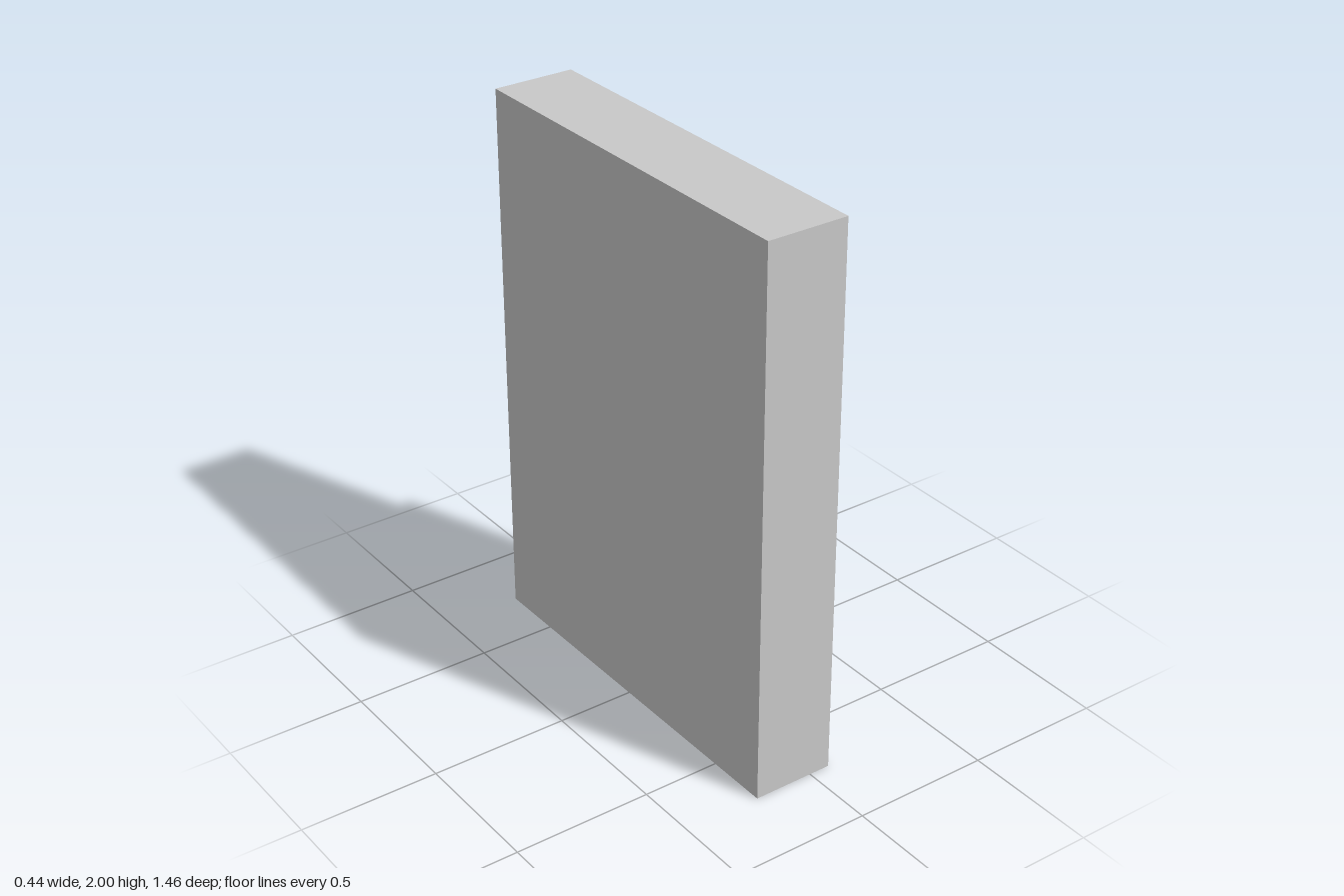
import * as THREE from 'three';

export function createModel() {
  const model = new THREE.Group();
  const grey = new THREE.MeshStandardMaterial({ color: 0xc8c8c8 });
  grey.name = 'light grey';

  // Box given by its limits on each axis
  function block(name, [x0, x1], [y0, y1], [z0, z1]) {
    const mesh = new THREE.Mesh(new THREE.BoxGeometry(x1 - x0, y1 - y0, z1 - z0), grey);
    mesh.position.set((x0 + x1) / 2, (y0 + y1) / 2, (z0 + z1) / 2);
    mesh.name = name;
    model.add(mesh);
  }

  // Upright slab and the raised keypad on its +x face
  block('body', [-0.22, 0.077], [0, 2], [-0.73, 0.73]);
  block('keypadPanel', [0.077, 0.195], [0.28, 1.285], [-0.545, 0.563]);

  // Row of four display tiles
  [0.418, 0.142, -0.143, -0.417].forEach((z, i) =>
    block(`displayTile${i + 1}`, [0.077, 0.108], [1.433, 1.753], [z - 0.116, z + 0.116]));

  // Three rows of three keys
  [1.135, 0.807, 0.508].forEach((y, row) =>
    [0.36, 0.012, -0.348].forEach((z, col) =>
      block(`key${row * 3 + col + 1}`, [0.195, 0.218], [y - 0.106, y + 0.106], [z - 0.115, z + 0.115])));

  return model;
}
